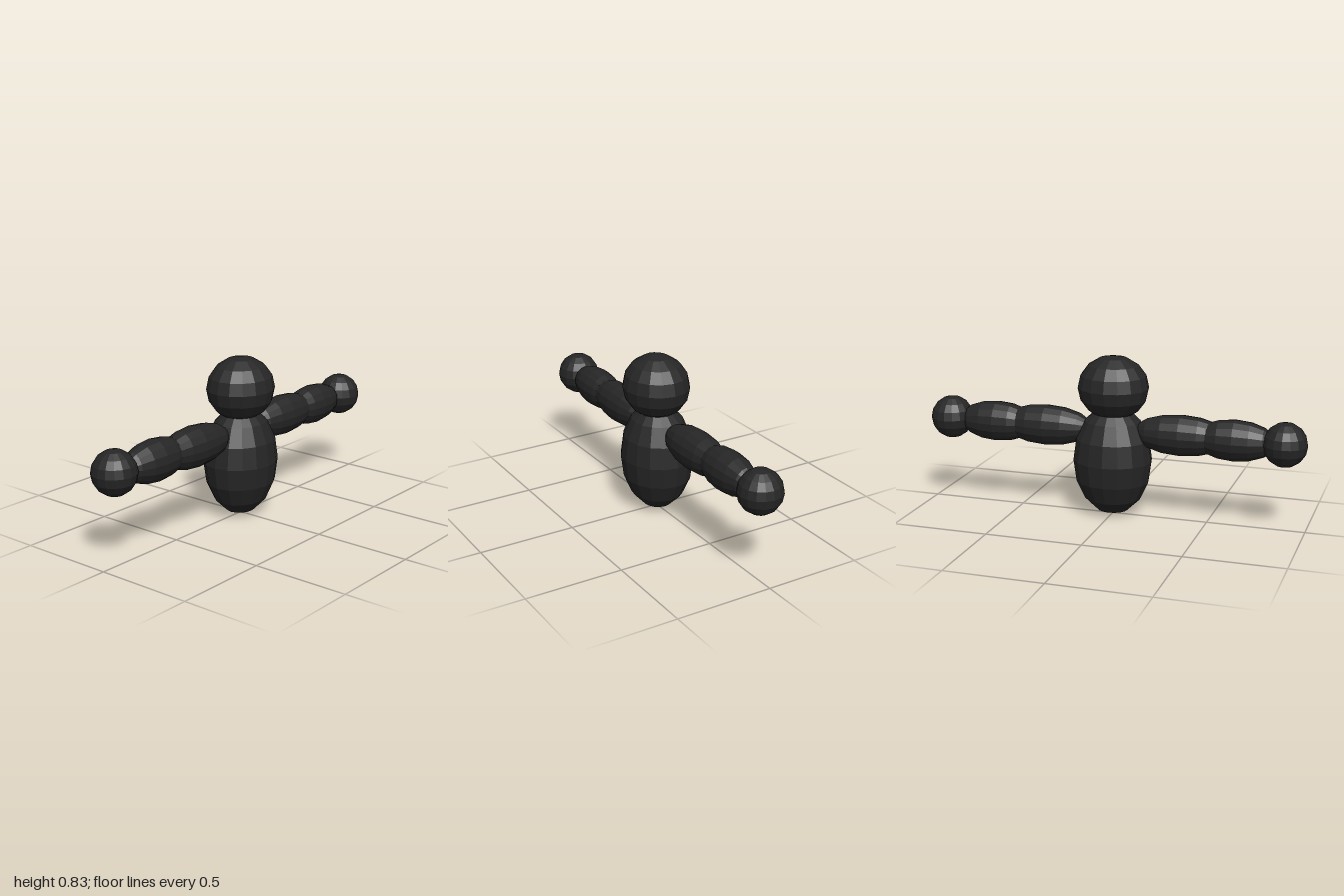
import * as THREE from 'three';

export function createModel() {
  const model = new THREE.Group();
  const charcoal = new THREE.MeshStandardMaterial({ color: 0x262626 });
  charcoal.name = 'charcoal';

  // Faceted ellipsoid; poles run along y, or along x for the limbs
  function ellipsoid(name, center, radii, alongX = false) {
    let geometry = new THREE.SphereGeometry(1, 16, 8);
    if (alongX) geometry.rotateZ(Math.PI / 2);
    geometry.scale(...radii);
    geometry = geometry.toNonIndexed();
    geometry.computeVertexNormals(); // flat facets
    const mesh = new THREE.Mesh(geometry, charcoal);
    mesh.name = name;
    mesh.position.set(...center);
    model.add(mesh);
  }

  // Torso and head
  ellipsoid('body', [0, 0.29, 0], [0.205, 0.29, 0.182]);
  ellipsoid('head', [-0.003, 0.668, 0.002], [0.183, 0.165, 0.168]);

  // Outstretched arms, with slightly different depths on each side
  const arms = [
    { side: 'left', s: 1, upper: 0.355, fore: 0.63, upperZ: -0.008, foreZ: -0.008, handZ: -0.008 },
    { side: 'right', s: -1, upper: 0.36, fore: 0.635, upperZ: -0.001, foreZ: -0.008, handZ: -0.02 },
  ];
  for (const a of arms) {
    ellipsoid(a.side + 'UpperArm', [a.s * a.upper, 0.447, a.upperZ], [0.25, 0.106, 0.093], true);
    ellipsoid(a.side + 'Forearm', [a.s * a.fore, 0.446, a.foreZ], [0.21, 0.106, 0.093], true);
    ellipsoid(a.side + 'Hand', [a.s * 0.889, 0.449, a.handZ], [0.111, 0.112, 0.111]);
  }
  return model;
}
